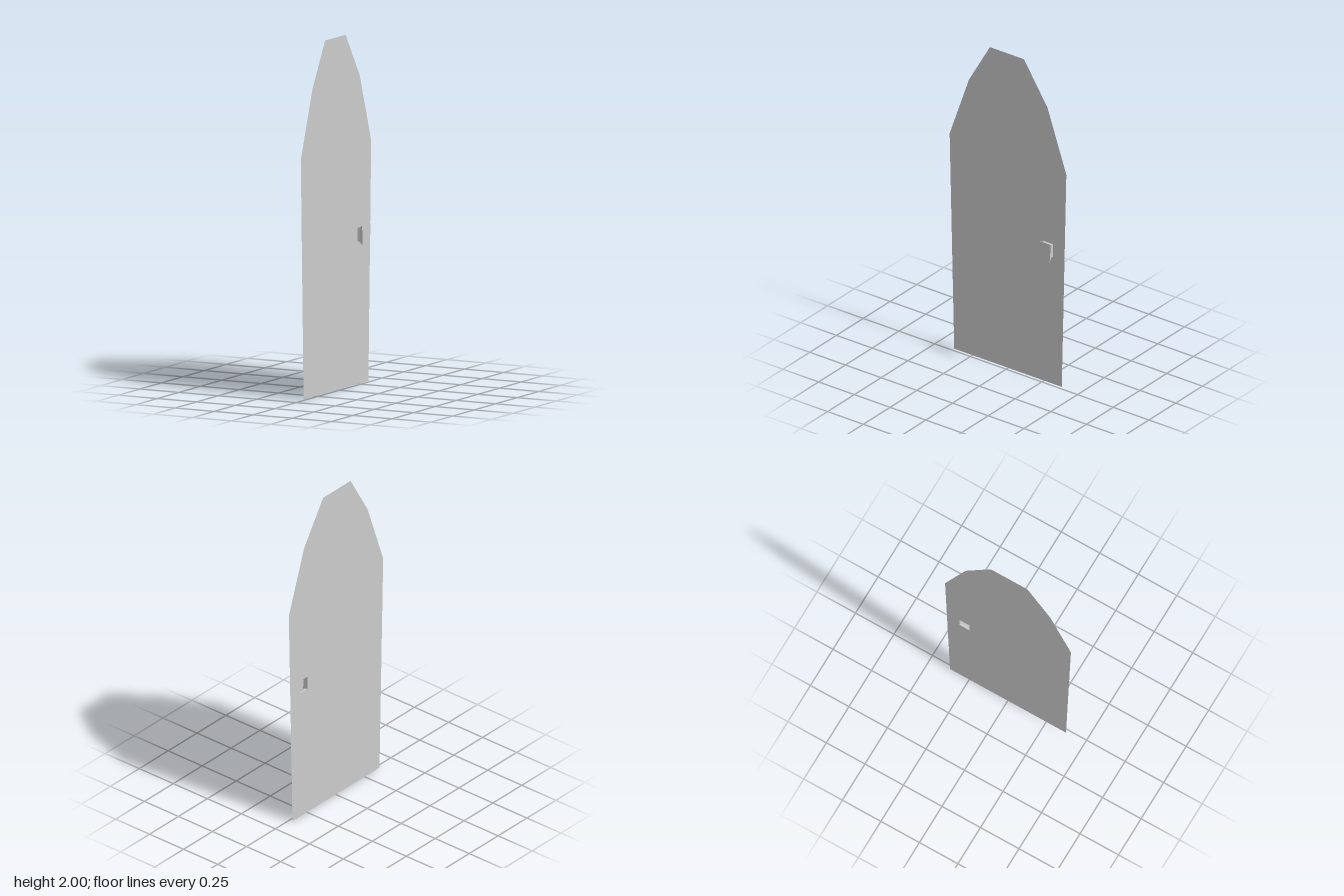
import * as THREE from 'three';

const material = new THREE.MeshStandardMaterial({
  color: 0xcccccc, flatShading: true, side: THREE.DoubleSide,
});

// Sections of the handle cup, from the panel outwards; corners are [z, y]
const sections = [
  { x: -0.02, corners: [[-0.247, 0.808], [-0.312, 0.808], [-0.312, 0.888], [-0.247, 0.888]] },
  { x: -0.008, corners: [[-0.247, 0.808], [-0.312, 0.808], [-0.312, 0.888], [-0.247, 0.888]] },
  { x: 0.02, corners: [[-0.236, 0.79], [-0.32, 0.79], [-0.328, 0.905], [-0.229, 0.905]] },
];

// Thin door leaf with a faceted arch and an opening behind the handle
function makePanel() {
  const outline = [
    [-0.378, 0], [0.375, 0], [0.407, 1.36], [0.275, 1.745],
    [0.11, 2], [-0.128, 2], [-0.275, 1.745], [-0.41, 1.36],
  ];
  const shape = new THREE.Shape(outline.map(([u, y]) => new THREE.Vector2(u, y)));
  shape.holes.push(new THREE.Path(
    sections[0].corners.map(([z, y]) => new THREE.Vector2(-z, y))));
  const geometry = new THREE.ShapeGeometry(shape);
  geometry.rotateY(Math.PI / 2).translate(sections[0].x, 0, 0);
  const mesh = new THREE.Mesh(geometry, material);
  mesh.name = 'doorPanel';
  return mesh;
}

// Flared cup, open towards the panel and capped on the outside
function makeHandle() {
  const positions = sections.flatMap(({ x, corners }) => corners.flatMap(([z, y]) => [x, y, z]));
  const index = [];
  for (let s = 0; s < sections.length - 1; s++) {
    for (let i = 0; i < 4; i++) {
      const a = s * 4 + i, b = s * 4 + (i + 1) % 4;
      index.push(a, b, b + 4, a, b + 4, a + 4);
    }
  }
  const cap = (sections.length - 1) * 4;
  index.push(cap, cap + 1, cap + 2, cap, cap + 2, cap + 3);
  const indexed = new THREE.BufferGeometry();
  indexed.setAttribute('position', new THREE.Float32BufferAttribute(positions, 3));
  indexed.setIndex(index);
  const geometry = indexed.toNonIndexed();
  geometry.computeVertexNormals();
  const mesh = new THREE.Mesh(geometry, material);
  mesh.name = 'handle';
  return mesh;
}

export function createModel() {
  const group = new THREE.Group();
  group.name = 'door';
  group.add(makePanel(), makeHandle());
  return group;
}
